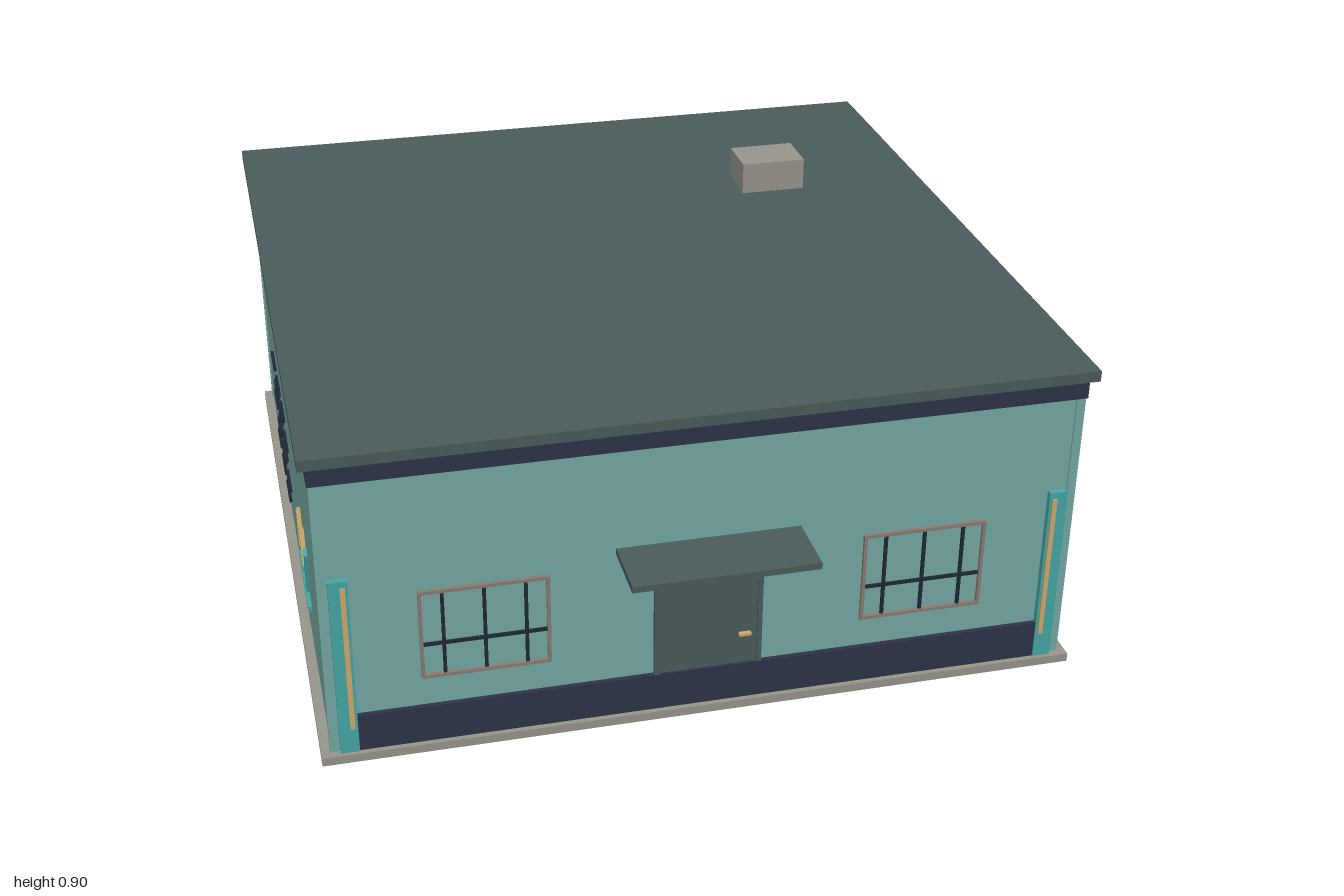
import * as THREE from 'three';

const mat = (name, color) => {
  const m = new THREE.MeshStandardMaterial({ color });
  m.name = name;
  return m;
};

export function createModel() {
  const wall = mat('wall green', 0x74a6a0);
  const slate = mat('slate', 0x4a5a5a);
  const navy = mat('navy', 0x2d3348);
  const concrete = mat('concrete', 0x95938a);
  const teal = mat('bright teal', 0x45a5a5);
  const tan = mat('tan', 0xcfa96a);
  const dark = mat('dark metal', 0x1e2733);
  const brown = mat('frame brown', 0x8a7a70);
  const pink = mat('lamp pink', 0xb98a80);

  const root = new THREE.Group();
  root.name = 'building';

  // Box given by its extents on each axis
  const box = (name, m, [x0, x1], [y0, y1], [z0, z1], parent = root) => {
    const mesh = new THREE.Mesh(new THREE.BoxGeometry(x1 - x0, y1 - y0, z1 - z0), m);
    mesh.position.set((x0 + x1) / 2, (y0 + y1) / 2, (z0 + z1) / 2);
    mesh.name = name;
    parent.add(mesh);
    return mesh;
  };
  const group = (name) => {
    const g = new THREE.Group();
    g.name = name;
    root.add(g);
    return g;
  };

  // Shell
  box('baseSlab', concrete, [-0.93, 0.93], [0, 0.022], [-1, 0.86]);
  box('walls', wall, [-0.905, 0.905], [0.022, 0.795], [-0.97, 0.835]);
  box('cornice', navy, [-0.912, 0.912], [0.742, 0.786], [-0.98, 0.843]);
  box('roof', slate, [-0.93, 0.93], [0.793, 0.82], [-1, 0.86]);
  box('chimney', concrete, [0.41, 0.585], [0.82, 0.905], [-0.49, -0.36]);

  // Corner posts
  for (const [x0, x1] of [[-0.909, -0.887], [0.887, 0.909]])
    for (const [z0, z1] of [[-0.974, -0.956], [0.822, 0.839]])
      box('cornerPost', wall, [x0, x1], [0.022, 0.742], [z0, z1]);

  // Front plinth, interrupted by nothing below the door
  box('plinth', navy, [-0.84, 0.84], [0.022, 0.12], [0.83, 0.847]);

  // Front pilasters with tan inlay
  for (const s of [-1, 1]) {
    const g = group('pilaster');
    g.position.x = s * 0.8625;
    box('pilasterBody', teal, [-0.0225, 0.0225], [0.022, 0.495], [0.83, 0.85], g);
    const cx = -s * 0.01;
    box('pilasterInlay', tan, [cx - 0.006, cx + 0.006], [0.09, 0.478], [0.848, 0.854], g);
  }

  // Door
  const door = group('door');
  box('doorLeaf', slate, [-0.12, 0.12], [0.12, 0.442], [0.83, 0.841], door);
  for (const x of [-0.126, 0.126])
    box('doorJamb', slate, [x - 0.006, x + 0.006], [0.12, 0.445], [0.83, 0.847], door);
  box('doorLintel', wall, [-0.137, 0.137], [0.444, 0.457], [0.83, 0.849], door);
  box('doorHandle', tan, [0.075, 0.105], [0.202, 0.209], [0.84, 0.852], door);
  box('canopy', slate, [-0.222, 0.222], [0.467, 0.483], [0.83, 1]);

  // Wall lamp beside the door
  const lamp = group('wallLamp');
  box('lampArm', pink, [0.219, 0.226], [0.41, 0.42], [0.83, 0.865], lamp);
  box('lampUpright', pink, [0.217, 0.228], [0.392, 0.439], [0.85, 0.858], lamp);
  box('lampCrossbar', pink, [0.197, 0.248], [0.41, 0.421], [0.85, 0.858], lamp);

  // Windows
  for (const cx of [-0.532, 0.532]) {
    const w = group('window');
    w.position.x = cx;
    const Z = [0.83, 0.844], ZB = [0.83, 0.841];
    for (const s of [-1, 1])
      box('frameSide', brown, [s * 0.149 - 0.004, s * 0.149 + 0.004], [0.198, 0.436], Z, w);
    for (const y of [0.202, 0.432])
      box('frameRail', brown, [-0.145, 0.145], [y - 0.004, y + 0.004], Z, w);
    for (const x of [-0.097, 0, 0.097])
      box('windowBar', dark, [x - 0.004, x + 0.004], [0.206, 0.428], ZB, w);
    box('windowCrossbar', dark, [-0.145, 0.145], [0.285, 0.293], ZB, w);
  }

  // Side walls: slanted ornament and rows of dashes, on both sides
  for (const s of [-1, 1]) {
    const at = (d) => (s > 0 ? [0.9, 0.905 + d] : [-0.905 - d, -0.9]);
    const ornament = group('slantedOrnament');
    const bar = (name, m, d, width, z0, y0, z1, y1) => {
      const len = Math.hypot(z1 - z0, y1 - y0);
      const b = box(name, m, at(d), [-len / 2, len / 2], [-width / 2, width / 2], ornament);
      b.position.y = (y0 + y1) / 2;
      b.position.z = (z0 + z1) / 2;
      b.rotation.x = Math.atan2(z1 - z0, y1 - y0);
    };
    for (const z of [0.406, 0.307, 0.208])
      bar('tealBar', teal, 0.008, 0.028, z, 0.2, z + 0.038, 0.328);
    for (const z of [0.387, 0.293])
      bar('tanBar', tan, 0.011, 0.028, z, 0.255, z - 0.03, 0.345);
    box('ornamentLedge', teal, at(0.01), [0.166, 0.18], [0.19, 0.46], ornament);

    const dashes = group('wallDashes');
    [0.345, 0.282, 0.222, 0.158, 0.094].forEach((y, row) => {
      for (let i = 0; i < 3; i++) {
        const z = (row % 2 ? -0.145 : -0.2) - i * 0.154;
        box('dash', dark, at(0.008), [y - 0.005, y + 0.005], [z - 0.11, z], dashes);
      }
    });
  }

  return root;
}
